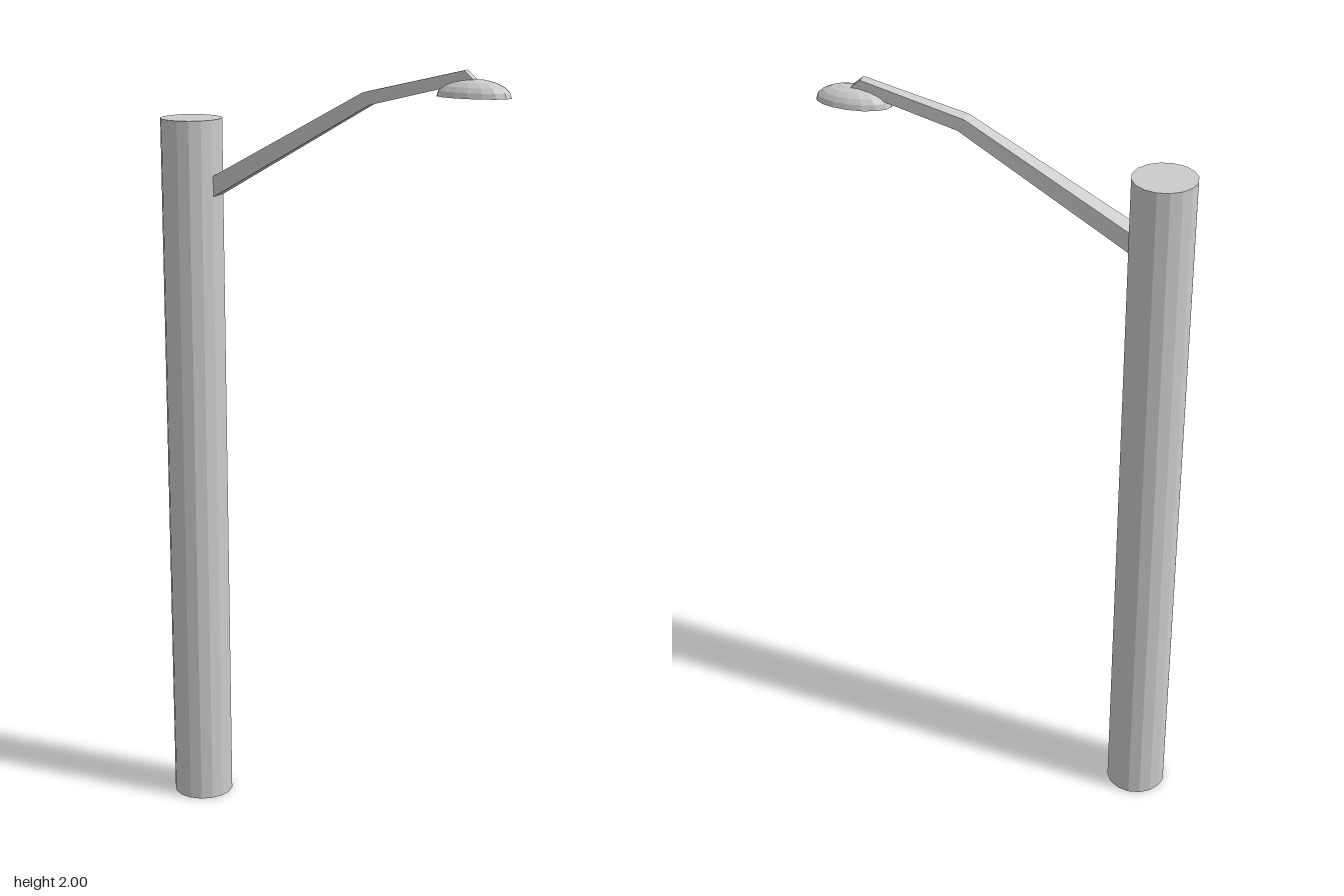
import * as THREE from 'three';

const grey = new THREE.MeshStandardMaterial({ color: 0xcccccc, flatShading: true });

function addMesh(group, name, geometry) {
  const mesh = new THREE.Mesh(geometry, grey);
  mesh.name = name;
  group.add(mesh);
  return mesh;
}

// Square-section beam through stations [topX, topY, bottomX, bottomY, halfWidth]
function beamGeometry(stations) {
  const positions = [];
  const index = [];
  for (const [tx, ty, bx, by, w] of stations) {
    positions.push(tx, ty, w, tx, ty, -w, bx, by, -w, bx, by, w);
  }
  for (let s = 0; s < stations.length - 1; s++) {
    for (let i = 0; i < 4; i++) {
      const a = s * 4 + i;
      const b = s * 4 + ((i + 1) % 4);
      index.push(a, a + 4, b, b, a + 4, b + 4);
    }
  }
  const e = (stations.length - 1) * 4;
  index.push(0, 1, 2, 0, 2, 3, e, e + 2, e + 1, e, e + 3, e + 2);
  const geometry = new THREE.BufferGeometry();
  geometry.setAttribute('position', new THREE.Float32BufferAttribute(positions, 3));
  geometry.setIndex(index);
  const flat = geometry.toNonIndexed();
  flat.computeVertexNormals();
  return flat;
}

// Dome shell: shallow hollow underneath, rim, then the outer curve
function domeGeometry(radius, height) {
  const profile = [];
  const steps = 5;
  for (let i = 0; i <= steps; i++) {
    const a = (i / steps) * Math.PI / 2;
    profile.push(new THREE.Vector2(Math.sin(a) * radius * 0.86, Math.cos(a) * height * 0.55));
  }
  for (let i = 0; i <= steps; i++) {
    const a = (i / steps) * Math.PI / 2;
    profile.push(new THREE.Vector2(Math.cos(a) * radius, Math.sin(a) * height));
  }
  return new THREE.LatheGeometry(profile, 16);
}

export function createModel() {
  const model = new THREE.Group();
  model.name = 'streetLamp';

  // Upright pole
  const pole = addMesh(model, 'pole', new THREE.CylinderGeometry(0.079, 0.079, 1.853, 16));
  pole.position.set(-0.389, 1.853 / 2, 0);

  // Tapered, bent arm
  addMesh(model, 'arm', beamGeometry([
    [-0.316, 1.712, -0.316, 1.659, 0.027],
    [0.09, 1.938, 0.107, 1.908, 0.018],
    [0.348, 2.0, 0.376, 1.976, 0.013],
  ]));

  // Oval lamp head
  const head = addMesh(model, 'lampHead', domeGeometry(0.095, 0.043));
  head.scale.z = 0.5;
  head.position.set(0.37, 1.937, 0);

  return model;
}
